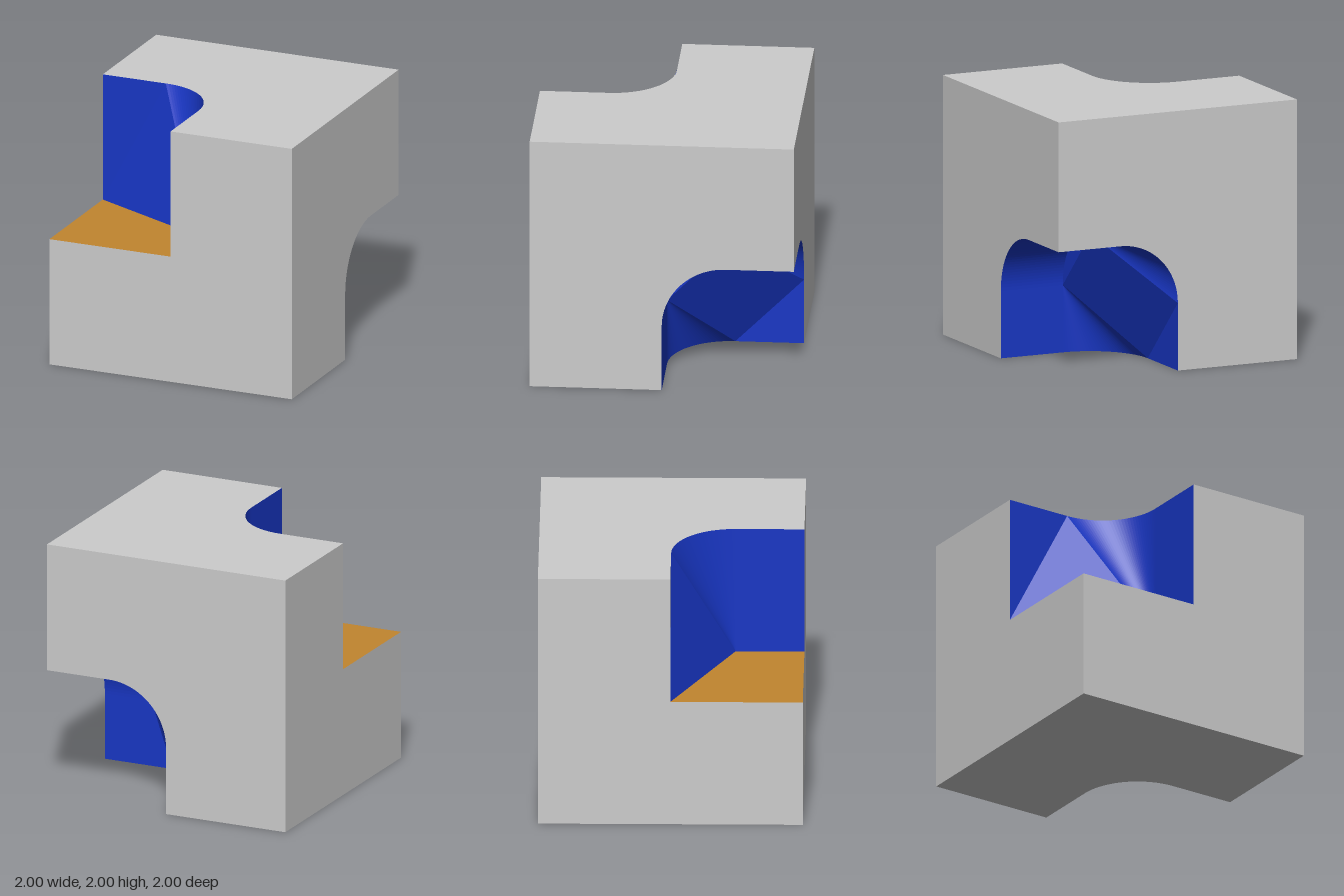
import * as THREE from 'three';

const K = 0.52;          // straight part of each notch edge
const R = 1 - K;         // radius of the rounded notch corner
const N = 32;

// Quarter arc from (1, K) to (K, 1)
const arc = Array.from({ length: N + 1 }, (_, i) => {
  const t = (i / N) * Math.PI / 2;
  return [K + R * Math.cos(t), K + R * Math.sin(t)];
});

// Flat polygon, facing the side that "out" points to; returns triangle corners
function panel(points, out) {
  const p = points.map(q => new THREE.Vector3(...q));
  const n = new THREE.Vector3();
  p.forEach((a, i) => n.add(a.clone().cross(p[(i + 1) % p.length])));
  if (n.dot(new THREE.Vector3(...out)) < 0) {
    n.negate();
    p.reverse();
  }
  n.normalize();
  const u = p[1].clone().sub(p[0]).normalize();
  const v = n.clone().cross(u);
  const flat = p.map(a => new THREE.Vector2(a.dot(u), a.dot(v)));
  return THREE.ShapeUtils.triangulateShape(flat, []).flatMap(f => {
    const [a, b, c] = f.map(i => flat[i]);
    const ccw = b.clone().sub(a).cross(c.clone().sub(a)) > 0;
    return (ccw ? f : [f[0], f[2], f[1]]).map(i => p[i]);
  });
}

// Fan of triangles from an apex to a curve
const fan = (apex, curve, out) =>
  curve.slice(1).flatMap((q, i) => panel([apex, curve[i], q], out));

function mesh(name, corners, color) {
  const g = new THREE.BufferGeometry().setFromPoints(corners);
  g.computeVertexNormals();
  const m = new THREE.Mesh(g, new THREE.MeshStandardMaterial({ color }));
  m.name = name;
  return m;
}

export function createModel() {
  const group = new THREE.Group();
  const GREY = 0xcccccc, BLUE = 0x1836c4, ORANGE = 0xc1852f;

  // Lower notch is laid out in distances (a, b, c) from the corner (1, 0, -1)
  const L = ([a, b, c]) => [1 - a, b, c - 1];

  // Three outer faces that the lower notch opens through
  const outline = [[1, 0], ...arc, [0, 1], [0, 2], [2, 2], [2, 0]];
  const opened = [
    ['rightFace', (s, t) => [0, s, t], [1, 0, 0]],
    ['bottomFace', (s, t) => [s, 0, t], [0, -1, 0]],
    ['backFace', (s, t) => [s, t, 0], [0, 0, -1]],
  ];
  for (const [name, place, out] of opened)
    group.add(mesh(name, panel(outline.map(([s, t]) => L(place(s, t))), out), GREY));

  // Front and left faces, stepped by the upper notch
  const step = [[-1, 0], [1, 0], [1, 2], [0, 2], [0, 1], [-1, 1]];
  group.add(mesh('frontFace', panel(step.map(([x, y]) => [x, y, 1]), [0, 0, 1]), GREY));
  group.add(mesh('sideFace', panel(step.map(([s, y]) => [-1, y, -s]), [-1, 0, 0]), GREY));

  // Top face with the rounded notch outline
  const topArc = arc.map(([s, t]) => [s - 1, 2, 1 - t]);
  group.add(mesh('topFace', panel(
    [[0, 2, 1], ...topArc, [-1, 2, 0], [-1, 2, -1], [1, 2, -1], [1, 2, 1]], [0, 1, 0]), GREY));

  // Upper notch: floor and faceted wall
  const P = [-1, 1, 0], Q = [0, 1, R], T = [-R, 2, 0], up = [-1, 1, 1];
  group.add(mesh('upperNotchFloor', panel([P, Q, [0, 1, 1], [-1, 1, 1]], up), ORANGE));
  group.add(mesh('upperNotchWall', [
    ...panel([P, [-1, 2, 0], T], up),
    ...panel([P, Q, T], up),
    ...fan(Q, topArc, up),
    ...panel([Q, [0, 2, R], [0, 2, 1], [0, 1, 1]], up),
  ], BLUE));

  // Lower notch: flats, rounded vault, end cap, slanted facet and two fans
  const down = [1, -1, -1];
  const flat = (...pts) => panel(pts.map(L), down);
  const A = [1, 0, K], B = [1, K, 0], C = [K, 1, K], D = [K, K, 1];
  const vault = arc.slice(1).flatMap(([s, t], i) => {
    const [s0, t0] = arc[i];
    return flat([0, s0, t0], [0, s, t], [K, s, t], [K, s0, t0]);
  });
  group.add(mesh('lowerNotch', [
    ...flat([0, 1, 0], [K, 1, 0], C, [0, 1, K]),
    ...flat([0, 0, 1], [K, 0, 1], D, [0, K, 1]),
    ...flat([1, 0, 0], A, B),
    ...vault,
    ...flat(...arc.map(([s, t]) => [K, s, t])),
    ...flat(A, B, C, D),
    ...fan(L(D), arc.map(([s, t]) => L([s, 0, t])), down),
    ...fan(L(C), arc.map(([s, t]) => L([s, t, 0])), down),
  ], BLUE));

  return group;
}
